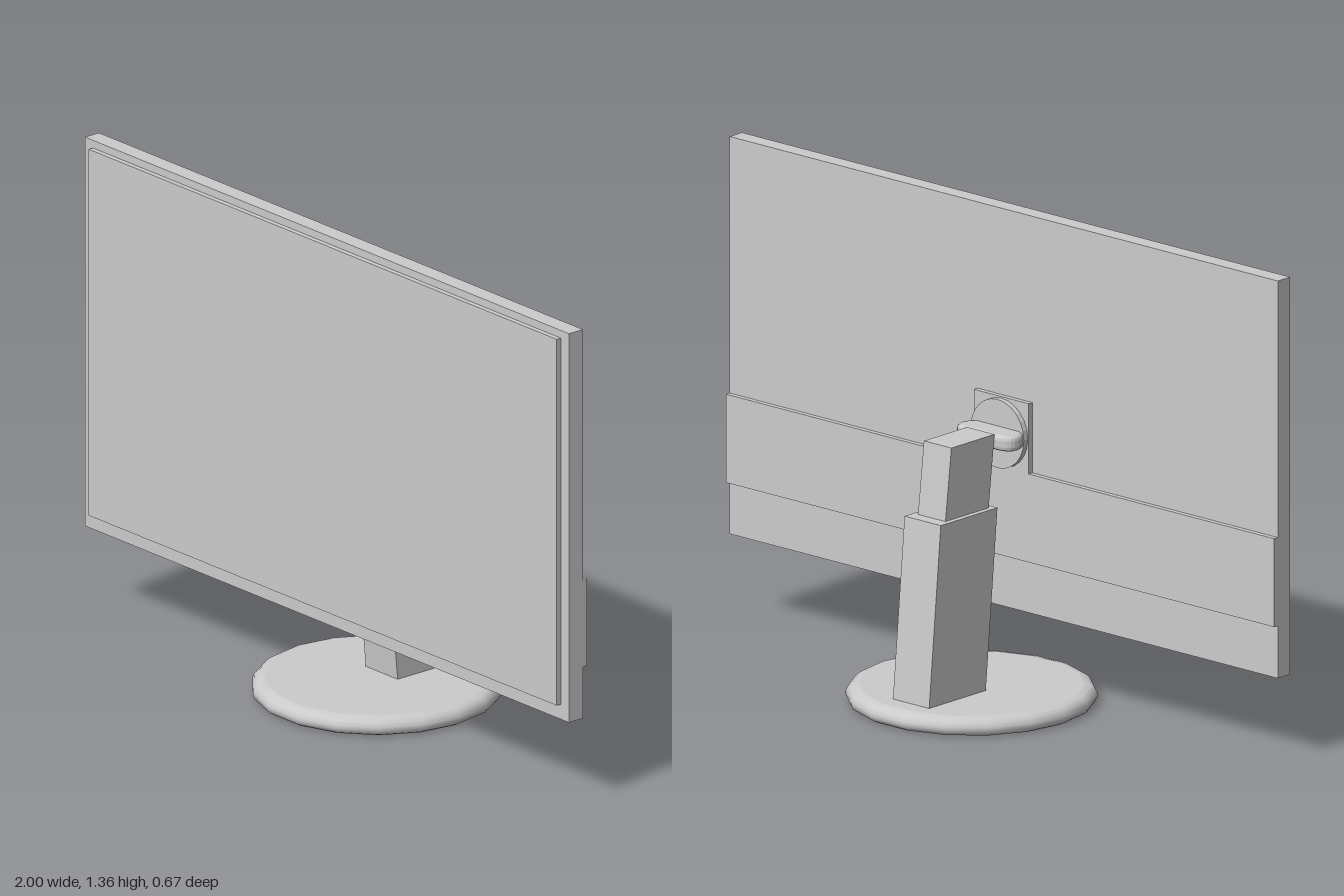
import * as THREE from 'three';

export function createModel() {
  const model = new THREE.Group();
  const flat = new THREE.MeshStandardMaterial({ color: 0xcccccc, flatShading: true });
  const smooth = new THREE.MeshStandardMaterial({ color: 0xcccccc });
  const standX = -0.005;

  function add(name, geometry, material = flat) {
    const mesh = new THREE.Mesh(geometry, material);
    mesh.name = name;
    model.add(mesh);
    return mesh;
  }

  // Box given by its lower and upper bounds
  function block(name, [x0, x1], [y0, y1], [z0, z1]) {
    const mesh = add(name, new THREE.BoxGeometry(x1 - x0, y1 - y0, z1 - z0));
    mesh.position.set((x0 + x1) / 2, (y0 + y1) / 2, (z0 + z1) / 2);
    return mesh;
  }

  // Box sheared so it leans towards the front as it rises
  function leaningColumn(name, width, y0, y1, zFront, zBack, lean) {
    const height = y1 - y0;
    const geometry = new THREE.BoxGeometry(width, height, zFront - zBack);
    geometry.translate(0, height / 2, (zFront + zBack) / 2);
    const p = geometry.attributes.position;
    for (let i = 0; i < p.count; i++) p.setZ(i, p.getZ(i) + (lean * p.getY(i)) / height);
    geometry.computeVertexNormals();
    add(name, geometry).position.set(standX, y0, 0);
  }

  // Display panel, raised screen, rear band and mounting plate
  block('panel', [-1, 1], [0.24, 1.36], [0.125, 0.175]);
  block('screen', [-0.967, 0.967], [0.283, 1.338], [0.175, 0.19]);
  block('rearBand', [-1, 1], [0.388, 0.637], [0.11, 0.125]);
  block('mountPlate', [standX - 0.1, standX + 0.1], [0.635, 0.835], [0.11, 0.125]);

  // Round swivel disc on the plate
  const disc = add('swivelDisc', new THREE.CylinderGeometry(0.097, 0.097, 0.017, 24));
  disc.rotation.x = Math.PI / 2;
  disc.position.set(standX, 0.734, 0.1025);

  // Flat neck with rounded corners joining the disc to the column
  const neckShape = new THREE.Shape();
  neckShape.moveTo(-0.065, 0.1);
  neckShape.quadraticCurveTo(-0.092, 0.085, -0.092, 0.063);
  neckShape.quadraticCurveTo(-0.092, 0.038, -0.055, 0.038);
  neckShape.lineTo(0.055, 0.038);
  neckShape.quadraticCurveTo(0.092, 0.038, 0.092, 0.063);
  neckShape.quadraticCurveTo(0.092, 0.085, 0.065, 0.1);
  neckShape.closePath();
  const neckGeometry = new THREE.ExtrudeGeometry(neckShape, {
    depth: 0.018, bevelThickness: 0.013, bevelSize: 0.013, bevelSegments: 3, curveSegments: 6,
  });
  neckGeometry.rotateX(Math.PI / 2);
  const neck = add('neck', neckGeometry, smooth);
  neck.position.set(standX, 0.743, 0);

  // Two-part telescopic column
  leaningColumn('lowerColumn', 0.132, 0.045, 0.555, -0.025, -0.252, 0.047);
  leaningColumn('upperColumn', 0.1, 0.5, 0.757, -0.002, -0.175, 0.03);

  // Round base with a softened rim
  const profile = [[0, 0], [0.325, 0], [0.325, 0], [0.335, 0.006], [0.34, 0.016], [0.34, 0.026],
    [0.334, 0.039], [0.322, 0.047], [0.305, 0.05], [0.305, 0.05], [0, 0.05]]
    .map(([r, y]) => new THREE.Vector2(r, y));
  // The bottom is a separate lathe so its edge stays crisp
  const base = new THREE.Group();
  base.name = 'base';
  for (const [name, points] of [['baseBottom', profile.slice(0, 2)],
    ['baseRim', profile.slice(2, 9)], ['baseTop', profile.slice(9)]]) {
    const part = new THREE.Mesh(new THREE.LatheGeometry(points, 18, Math.PI / 2), smooth);
    part.name = name;
    base.add(part);
  }
  base.position.x = 0.003;
  model.add(base);

  return model;
}
